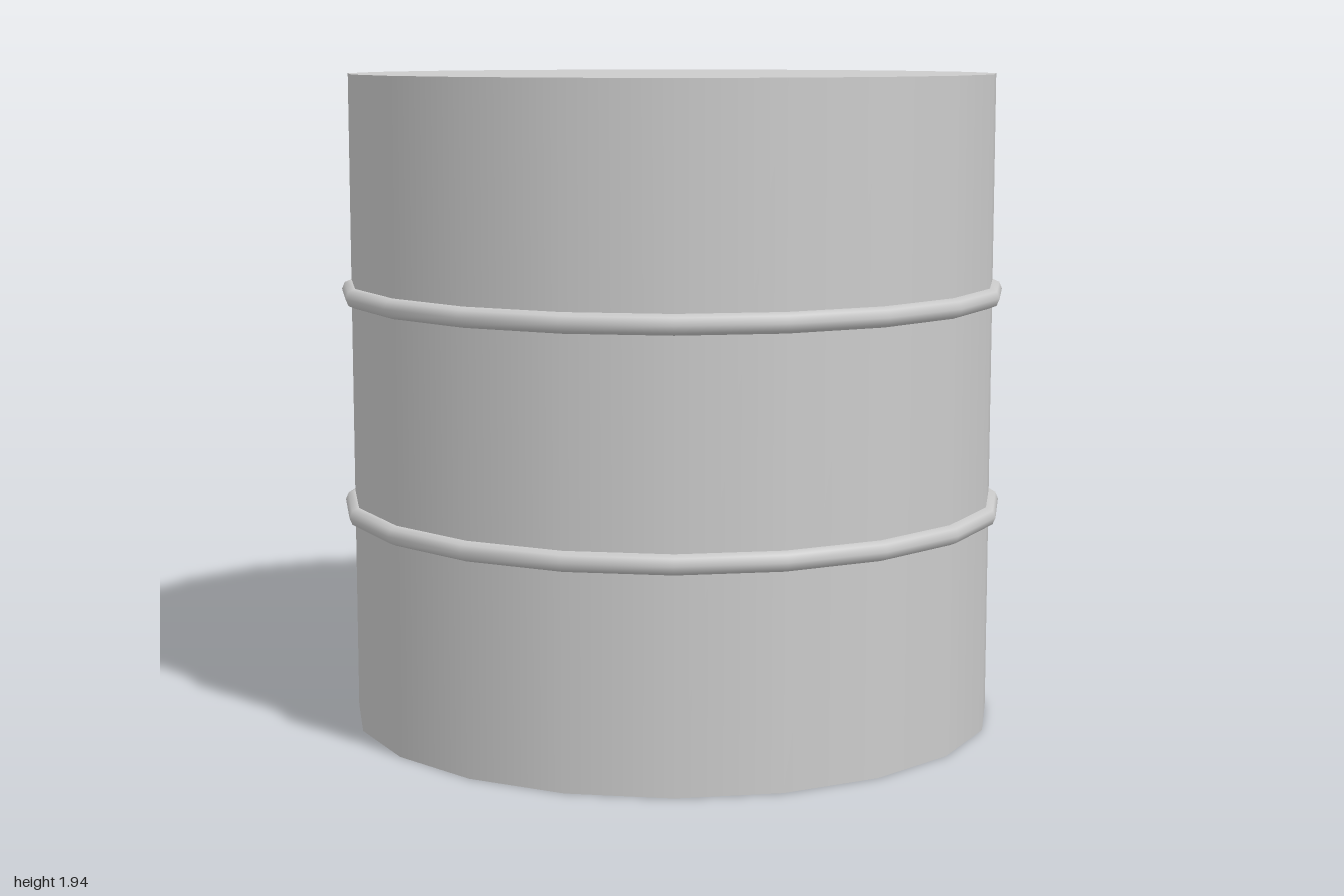
import * as THREE from 'three';

const SIDES = 20;
const RADIUS = 0.971;
const HEIGHT = 1.942;
const RIB = 0.029;

export function createModel() {
  const group = new THREE.Group();
  group.name = 'barrel';
  const material = new THREE.MeshStandardMaterial({ color: 0xcccccc });

  // Closed drum body
  const body = new THREE.Mesh(new THREE.CylinderGeometry(RADIUS, RADIUS, HEIGHT, SIDES), material);
  body.name = 'body';
  body.position.y = HEIGHT / 2;
  group.add(body);

  // Two rolling hoops at the thirds of the height
  const hoopGeometry = new THREE.TorusGeometry(RADIUS, RIB, 8, SIDES).rotateX(Math.PI / 2);
  [['lowerHoop', 1 / 3], ['upperHoop', 2 / 3]].forEach(([name, t]) => {
    const hoop = new THREE.Mesh(hoopGeometry, material);
    hoop.name = name;
    hoop.position.y = HEIGHT * t;
    group.add(hoop);
  });

  return group;
}
